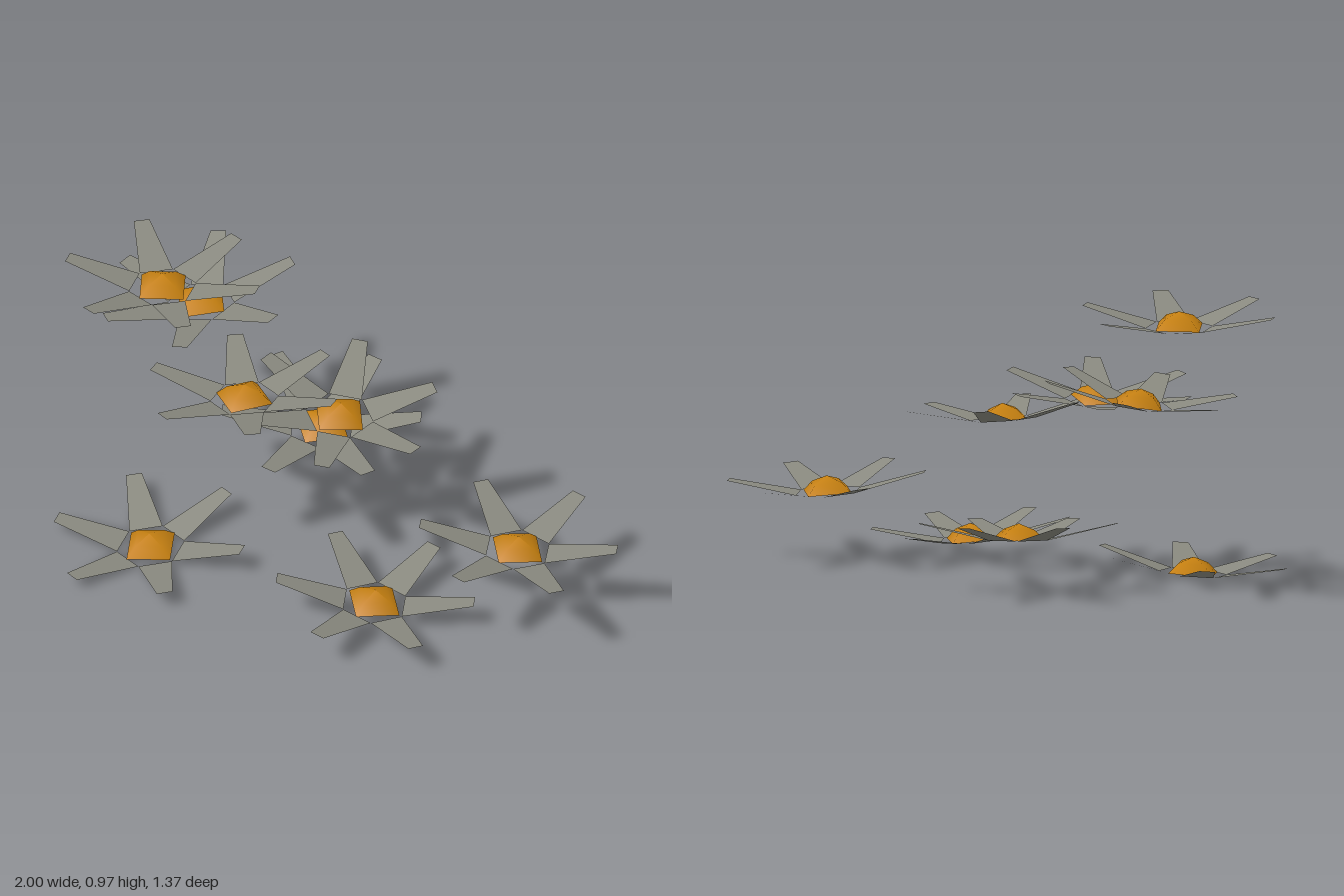
import * as THREE from 'three';

// One petal: a thin tapered blade rising outward along +x
function petalGeometry() {
  const g = new THREE.BufferGeometry();
  g.setAttribute('position', new THREE.Float32BufferAttribute([
    0.1, 0, 0.057, 0.337, 0.055, 0.027,
    0.337, 0.055, -0.027, 0.1, 0, -0.057,
  ], 3));
  g.setIndex([0, 1, 2, 0, 2, 3]);
  g.computeVertexNormals();
  return g;
}

export function createModel() {
  const model = new THREE.Group();
  const petalMat = new THREE.MeshStandardMaterial({ color: 0x8a8a80, side: THREE.DoubleSide });
  petalMat.name = 'petalGrey';
  const heartMat = new THREE.MeshStandardMaterial({ color: 0xc47f10, side: THREE.DoubleSide });
  heartMat.name = 'heartOrange';

  const petalGeo = petalGeometry();
  // Four-sided open dome in the middle of each flower
  const heartGeo = new THREE.LatheGeometry(
    [[0.105, 0], [0.064, 0.034], [0, 0.055]].map(([r, y]) => new THREE.Vector2(r, y)), 4);

  // x, y, z, yaw in degrees, tilt about x, tilt about z
  const flowers = [
    [-0.297, 0.185, -0.347, 93.5, 0.07, -0.06],
    [-0.665, 0.658, -0.16, -5, 0.05, 0.125],
    [-0.008, 0.535, -0.053, -5, 0.015, -0.1],
    [0.685, 0.232, -0.123, 88.5, -0.06, -0.04],
    [-0.64, 0.889, 0.096, 78, -0.05, 0.044],
    [-0.27, 0.605, 0.134, 11, -0.07, 0.1],
    [0.335, 0.06, 0.219, 90, -0.04, -0.06],
    [-0.505, 0.006, 0.35, 75, 0.055, 0.055],
  ];

  for (const [x, y, z, yaw, tiltX, tiltZ] of flowers) {
    const flower = new THREE.Group();
    flower.name = 'flower';
    flower.position.set(x, y, z);
    flower.rotation.set(tiltX, THREE.MathUtils.degToRad(yaw), tiltZ, 'XZY');

    const heart = new THREE.Mesh(heartGeo, heartMat);
    heart.name = 'flowerHeart';
    flower.add(heart);

    // Ring of six petals
    for (let i = 0; i < 6; i++) {
      const petal = new THREE.Mesh(petalGeo, petalMat);
      petal.name = 'petal';
      petal.rotation.y = (i * Math.PI) / 3;
      flower.add(petal);
    }
    model.add(flower);
  }
  return model;
}
